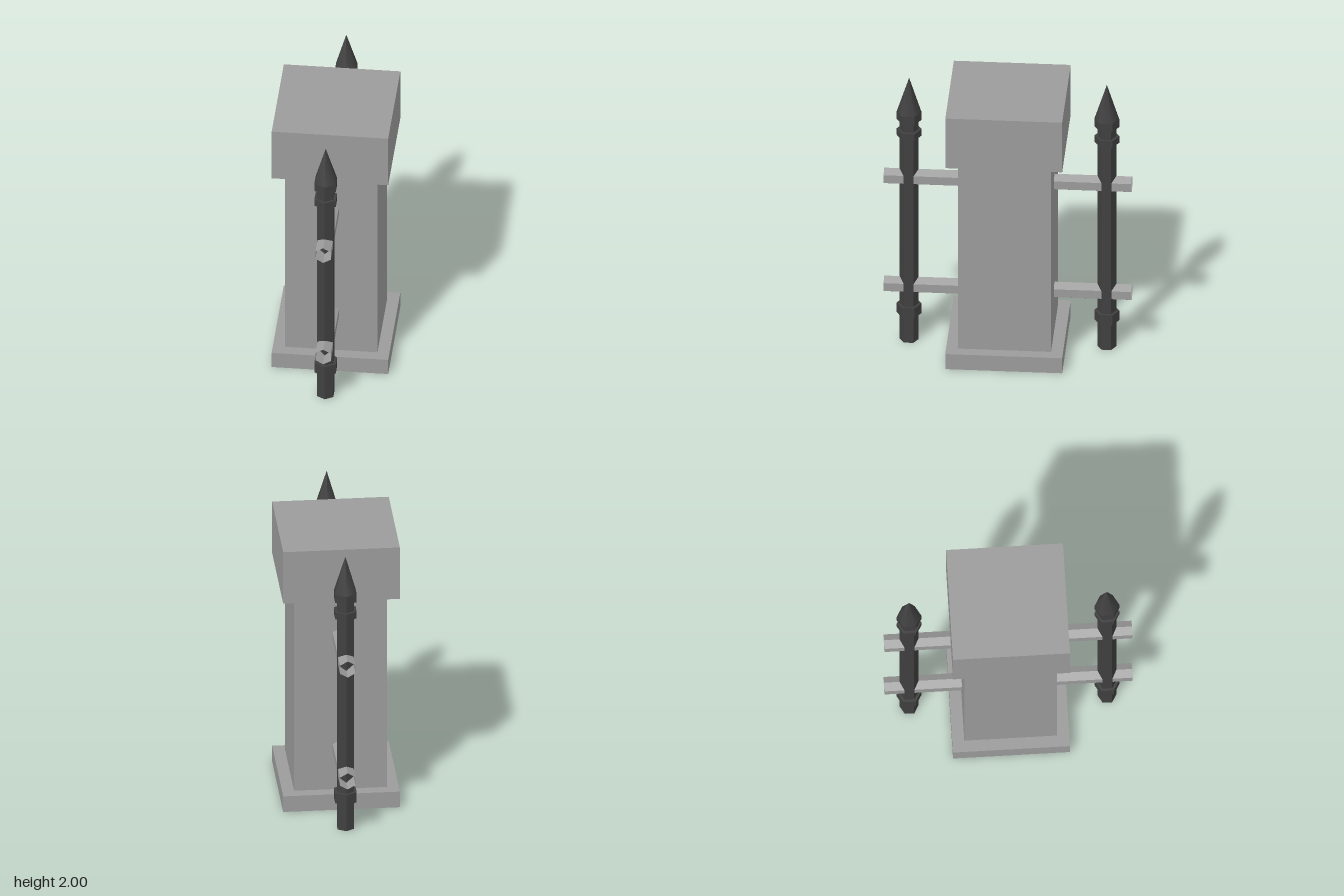
import * as THREE from 'three';

// Faceted shell of revolution from [radius, y] pairs, listed bottom to top
function facetedLathe(profile, sides) {
  const points = profile.map(([r, y]) => new THREE.Vector2(r, y));
  const geometry = new THREE.LatheGeometry(points, sides).toNonIndexed();
  geometry.computeVertexNormals();
  return geometry;
}

export function createModel() {
  const stone = new THREE.MeshStandardMaterial({ color: 0x9c9c9c, side: THREE.DoubleSide });
  stone.name = 'grey stone';
  const iron = new THREE.MeshStandardMaterial({ color: 0x404040, side: THREE.DoubleSide });
  iron.name = 'dark iron';

  const model = new THREE.Group();
  model.name = 'fencePillar';

  function add(parent, name, geometry, material, x = 0, y = 0, z = 0) {
    const mesh = new THREE.Mesh(geometry, material);
    mesh.name = name;
    mesh.position.set(x, y, z);
    parent.add(mesh);
    return mesh;
  }

  // Square pillar: plinth, shaft and cap as one shell, open underneath
  const wide = 0.39 * Math.SQRT2;
  const narrow = 0.31 * Math.SQRT2;
  const pillar = facetedLathe([
    [wide, 0], [wide, 0.115], [narrow, 0.115], [narrow, 1.54],
    [wide, 1.54], [wide, 1.92], [0, 1.92],
  ], 4);
  pillar.rotateY(Math.PI / 4);
  add(model, 'pillar', pillar, stone);

  // Hexagonal picket with three collars
  const rod = 0.063;
  const collar = 0.083;
  const picket = facetedLathe([
    [rod, 0], [rod, 0.2], [collar, 0.2], [collar, 0.275],
    [rod, 0.275], [rod, 1.56], [collar, 1.56], [collar, 1.61],
    [rod, 1.61], [rod, 1.68], [collar, 1.68], [collar, 1.74],
  ], 6);
  const spike = new THREE.ConeGeometry(collar, 0.26, 6, 1, true);

  // Hexagonal rail: open tube along z with an edge on top
  const railLength = 0.52;
  const rail = facetedLathe([[0.0595, -railLength / 2], [0.0595, railLength / 2]], 6);
  rail.rotateX(Math.PI / 2);

  // One picket and two rails on the front and on the back
  for (const side of [1, -1]) {
    const fence = new THREE.Group();
    fence.name = side > 0 ? 'frontFence' : 'backFence';
    model.add(fence);
    add(fence, 'picket', picket, iron, 0, 0, side * 0.66);
    add(fence, 'spike', spike, iron, 0, 1.87, side * 0.66);
    for (const [name, y] of [['lowerRail', 0.418], ['upperRail', 1.245]]) {
      add(fence, name, rail, stone, 0, y, side * (0.307 + railLength / 2));
    }
  }

  return model;
}
